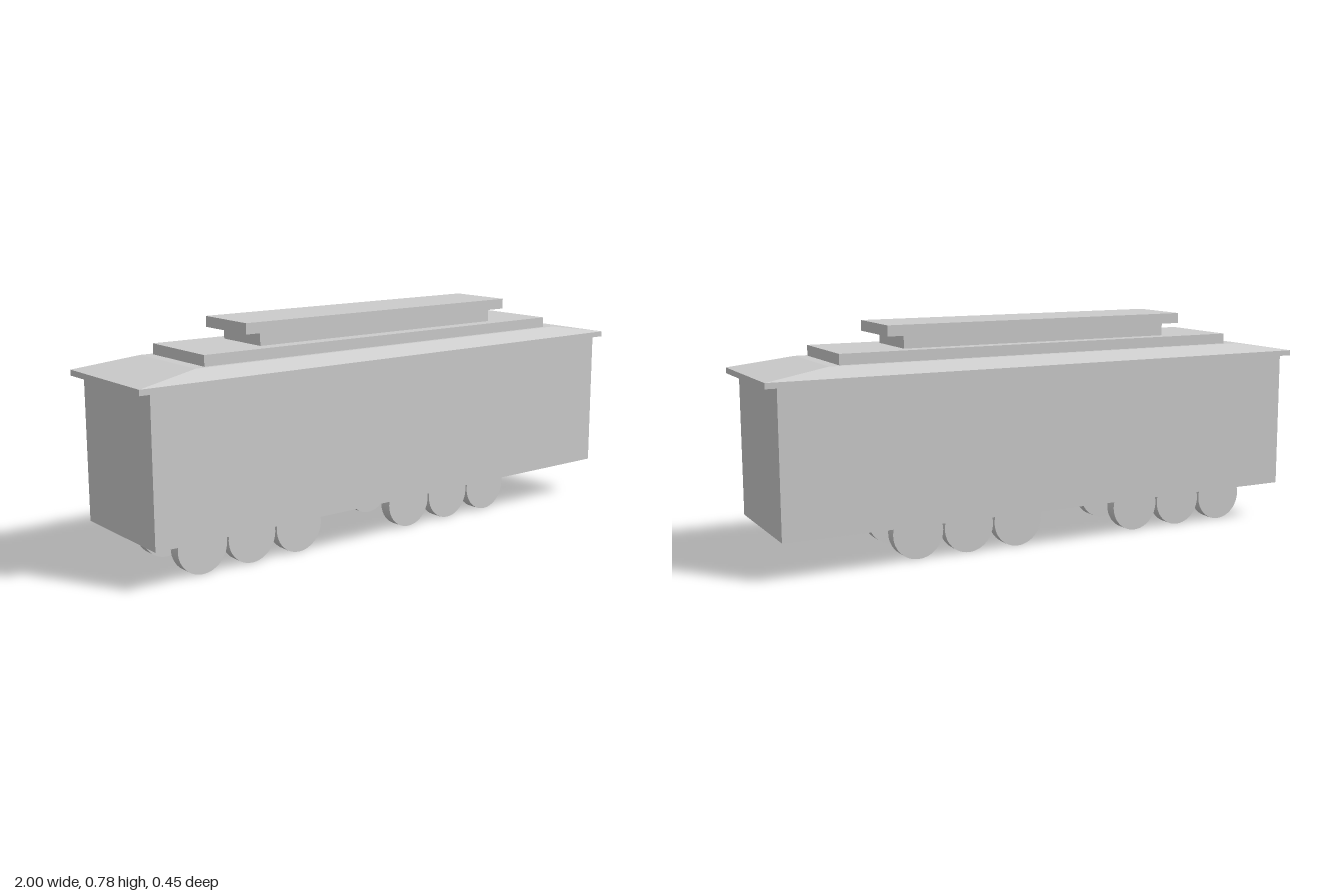
import * as THREE from 'three';

const material = new THREE.MeshStandardMaterial({ color: 0xcccccc });

// Box spanning y0..y1 with half sizes hx and hz
function slab(name, hx, hz, y0, y1, z = 0) {
  const mesh = new THREE.Mesh(new THREE.BoxGeometry(hx * 2, y1 - y0, hz * 2), material);
  mesh.position.set(0, (y0 + y1) / 2, z);
  mesh.name = name;
  return mesh;
}

// Pull the top corners of a slab inwards to make a hipped shape
function taper(mesh, topX, topZ) {
  const pos = mesh.geometry.attributes.position;
  for (let i = 0; i < pos.count; i++) {
    if (pos.getY(i) > 0) {
      pos.setX(i, Math.sign(pos.getX(i)) * topX);
      pos.setZ(i, Math.sign(pos.getZ(i)) * topZ);
    }
  }
  mesh.geometry.computeVertexNormals();
  return mesh;
}

export function createModel() {
  const model = new THREE.Group();
  model.name = 'railCar';

  // Body and stepped roof
  model.add(
    slab('body', 0.96, 0.214, 0.132, 0.614),
    slab('roofEave', 1, 0.224, 0.614, 0.633),
    taper(slab('hippedRoof', 1, 0.224, 0.633, 0.665), 0.78, 0.173),
    slab('roofTier', 0.741, 0.158, 0.665, 0.701, 0.001),
    slab('ventNeck', 0.502, 0.107, 0.701, 0.744, 0.001),
    slab('ventCap', 0.563, 0.12, 0.744, 0.78, 0.001)
  );

  // Two groups of three wheels on each side
  const radius = 0.09;
  const wheelGeometry = new THREE.CylinderGeometry(radius, radius, 0.044, 48).rotateX(Math.PI / 2);
  for (const [name, centre] of [['rightBogie', -0.564], ['leftBogie', 0.287]]) {
    const bogie = new THREE.Group();
    bogie.name = name;
    for (const z of [-0.114, 0.114]) {
      for (const step of [-1, 0, 1]) {
        const wheel = new THREE.Mesh(wheelGeometry, material);
        wheel.name = 'wheel';
        wheel.position.set(centre + step * 0.186, radius, z);
        bogie.add(wheel);
      }
    }
    model.add(bogie);
  }
  return model;
}
